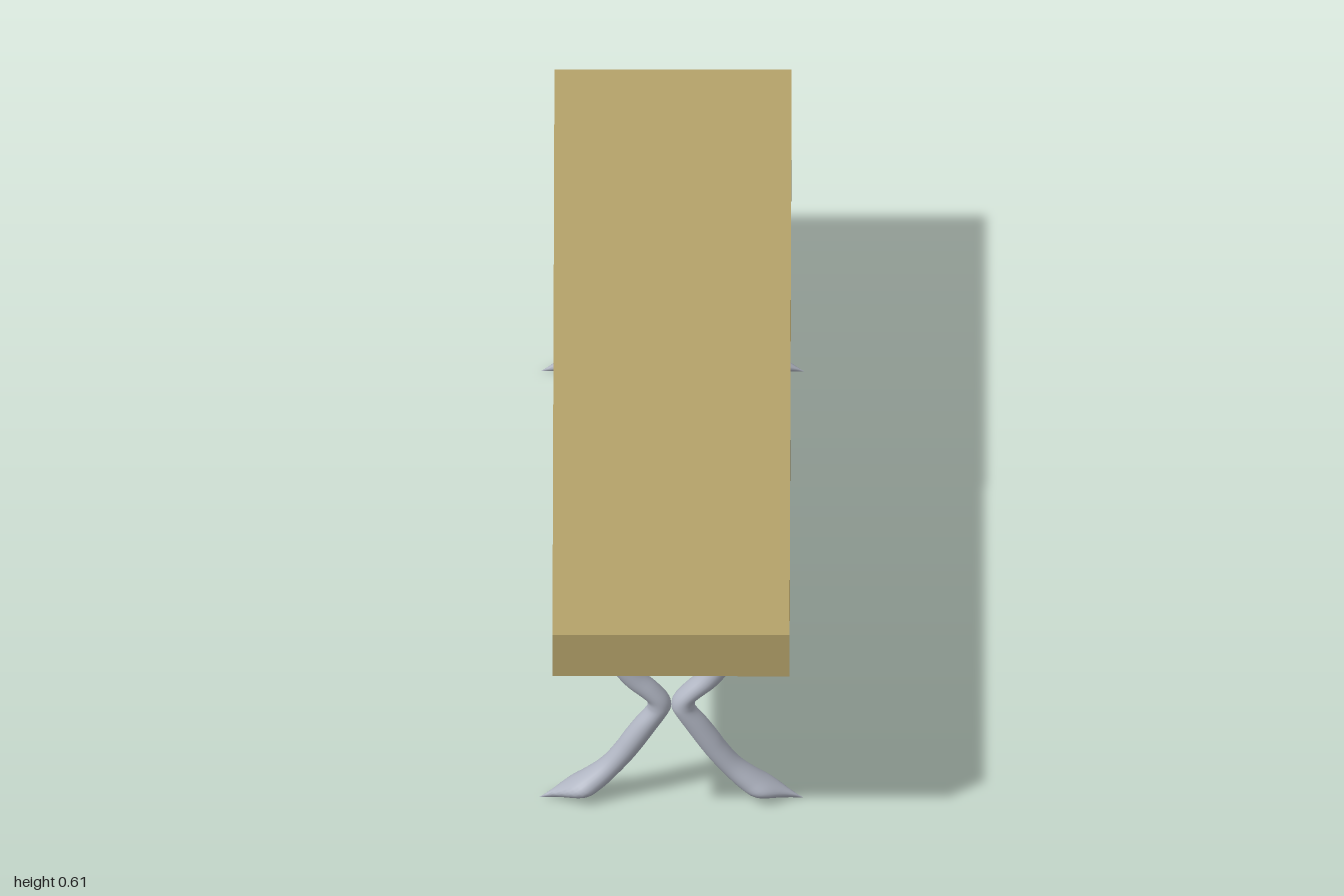
import * as THREE from 'three';

const wood = new THREE.MeshStandardMaterial({ color: 0xb4a26a });
wood.name = 'wood';
const metal = new THREE.MeshStandardMaterial({ color: 0xb0b5c2 });
metal.name = 'metal';

// Leg sections from top to foot: inner x, inner y, outer x, outer y, half depth
const SECTIONS = [
  [0.055, 0.5, 0.108, 0.5, 0.027],
  [0.074, 0.447, 0.125, 0.44, 0.027],
  [0.088, 0.392, 0.136, 0.385, 0.027],
  [0.081, 0.362, 0.123, 0.337, 0.027],
  [0.06, 0.327, 0.096, 0.299, 0.027],
  [0.03, 0.296, 0.066, 0.272, 0.027],
  [0.007, 0.268, 0.052, 0.258, 0.027],
  [0, 0.247, 0.05, 0.245, 0.027],
  [0.005, 0.228, 0.054, 0.232, 0.027],
  [0.03, 0.186, 0.075, 0.205, 0.027],
  [0.055, 0.145, 0.1, 0.168, 0.027],
  [0.08, 0.108, 0.118, 0.138, 0.027],
  [0.11, 0.07, 0.146, 0.1, 0.028],
  [0.14, 0.037, 0.185, 0.066, 0.034],
  [0.166, 0.017, 0.225, 0.037, 0.037],
  [0.195, 0, 0.278, 0, 0],
];

// Loft elliptical sections between an inner and an outer rail
function legGeometry(rows = 60, sides = 24) {
  const inner = new THREE.CatmullRomCurve3(
    SECTIONS.map((s) => new THREE.Vector3(s[0], s[1], 0)), false, 'catmullrom', 0.5);
  const outer = new THREE.CatmullRomCurve3(
    SECTIONS.map((s) => new THREE.Vector3(s[2], s[3], s[4])), false, 'catmullrom', 0.5);
  const positions = [];
  const indices = [];
  for (let i = 0; i <= rows; i++) {
    const p = inner.getPoint(i / rows);
    const q = outer.getPoint(i / rows);
    for (let j = 0; j < sides; j++) {
      const a = (j / sides) * Math.PI * 2;
      const k = 0.5 + 0.5 * Math.cos(a);
      positions.push(
        p.x + (q.x - p.x) * k,
        Math.max(0, p.y + (q.y - p.y) * k),
        q.z * Math.sin(a));
      if (i < rows) {
        const n = (j + 1) % sides;
        const v0 = i * sides + j, v1 = i * sides + n;
        indices.push(v0, v1, v0 + sides, v1, v1 + sides, v0 + sides);
      }
    }
  }
  const geometry = new THREE.BufferGeometry();
  geometry.setAttribute('position', new THREE.Float32BufferAttribute(positions, 3));
  geometry.setIndex(indices);
  geometry.computeVertexNormals();
  return geometry;
}

export function createModel() {
  const bench = new THREE.Group();
  bench.name = 'bench';

  // Thick plank seat
  const seat = new THREE.Mesh(new THREE.BoxGeometry(0.5, 0.108, 2), wood);
  seat.name = 'seat';
  seat.position.y = 0.555;
  bench.add(seat);

  // Two pairs of curved legs meeting at the middle
  const geometry = legGeometry();
  for (const [end, z] of [['front', 0.753], ['back', -0.753]]) {
    for (const [side, turn] of [['Left', 0], ['Right', Math.PI]]) {
      const leg = new THREE.Mesh(geometry, metal);
      leg.name = `${end}${side}Leg`;
      leg.position.z = z;
      leg.rotation.y = turn;
      bench.add(leg);
    }
  }
  return bench;
}
